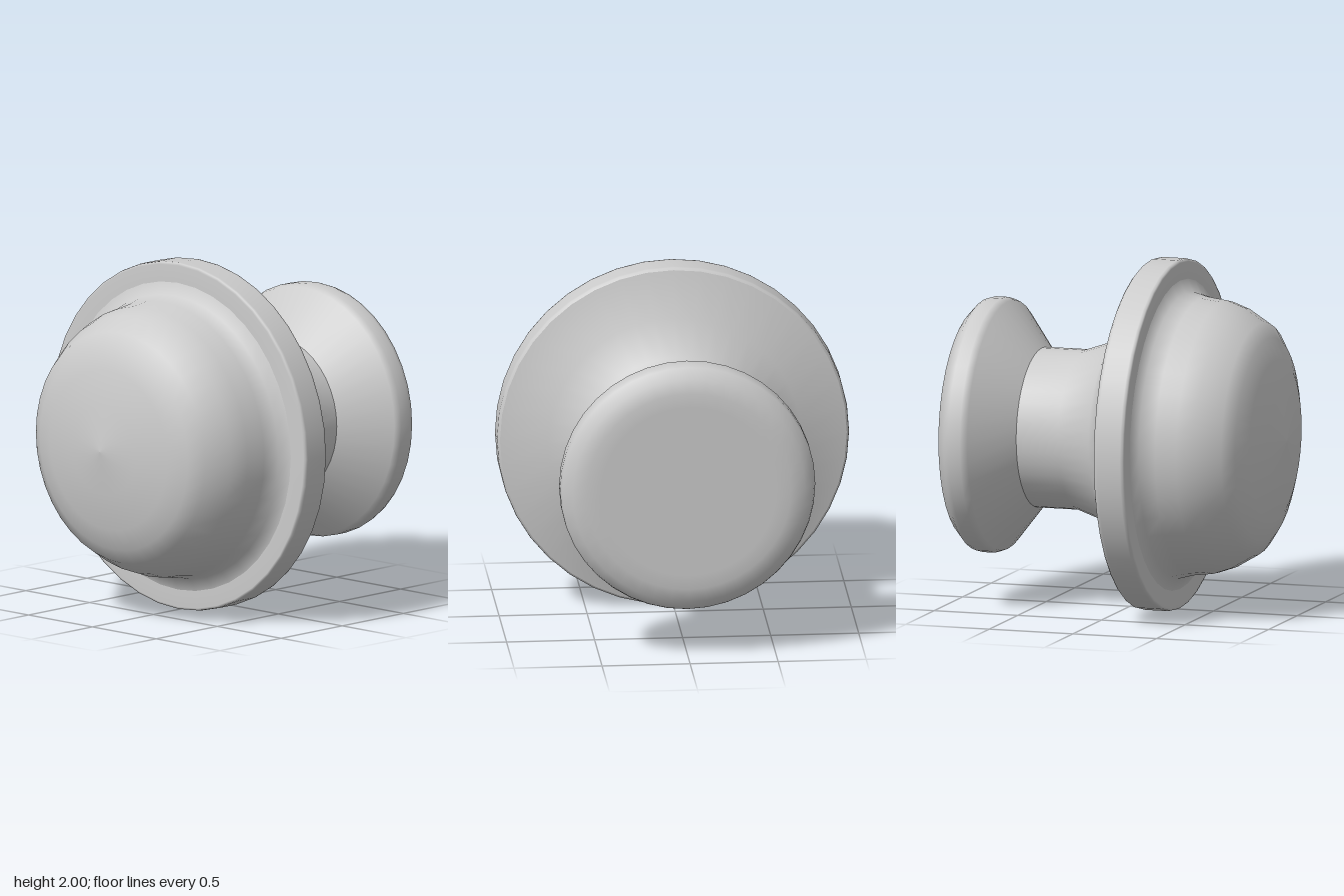
import * as THREE from 'three';

const SEGMENTS = 40;
const material = new THREE.MeshStandardMaterial({ color: 0xcccccc });

// Turned part: profile of [radius, z] pairs running from back to front
function turned(name, profile) {
  const points = profile.map(([r, z]) => new THREE.Vector2(r, z));
  const geometry = new THREE.LatheGeometry(points, SEGMENTS);
  geometry.rotateX(Math.PI / 2);
  const mesh = new THREE.Mesh(geometry, material);
  mesh.name = name;
  return mesh;
}

export function createModel() {
  const model = new THREE.Group();
  model.name = 'knob';
  const body = new THREE.Group();
  body.name = 'turnedBody';
  body.position.y = 1;

  // Rounded disc at the back, tapering to the stem
  body.add(turned('backDisc', [
    [0, -0.94], [0.5, -0.94], [0.58, -0.938], [0.66, -0.92], [0.715, -0.87],
    [0.725, -0.84], [0.725, -0.77], [0.71, -0.73], [0.455, -0.525],
  ]));

  // Narrow stem flaring out to the flange
  body.add(turned('stem', [
    [0.455, -0.525], [0.455, -0.275], [0.525, -0.07], [0.72, 0.05], [0.985, 0.12],
  ]));

  // Wide flange with softened edges
  body.add(turned('flange', [
    [0.985, 0.12], [0.997, 0.13], [1, 0.145], [1, 0.28], [0.997, 0.295], [0.985, 0.3], [0.885, 0.3],
  ]));

  // Domed cap at the front with a shallow point
  body.add(turned('frontCap', [
    [0.885, 0.3], [0.815, 0.33], [0.79, 0.42], [0.775, 0.54], [0.74, 0.64],
    [0.663, 0.77], [0.58, 0.825], [0.46, 0.87], [0.25, 0.91], [0, 0.94],
  ]));

  model.add(body);
  return model;
}
